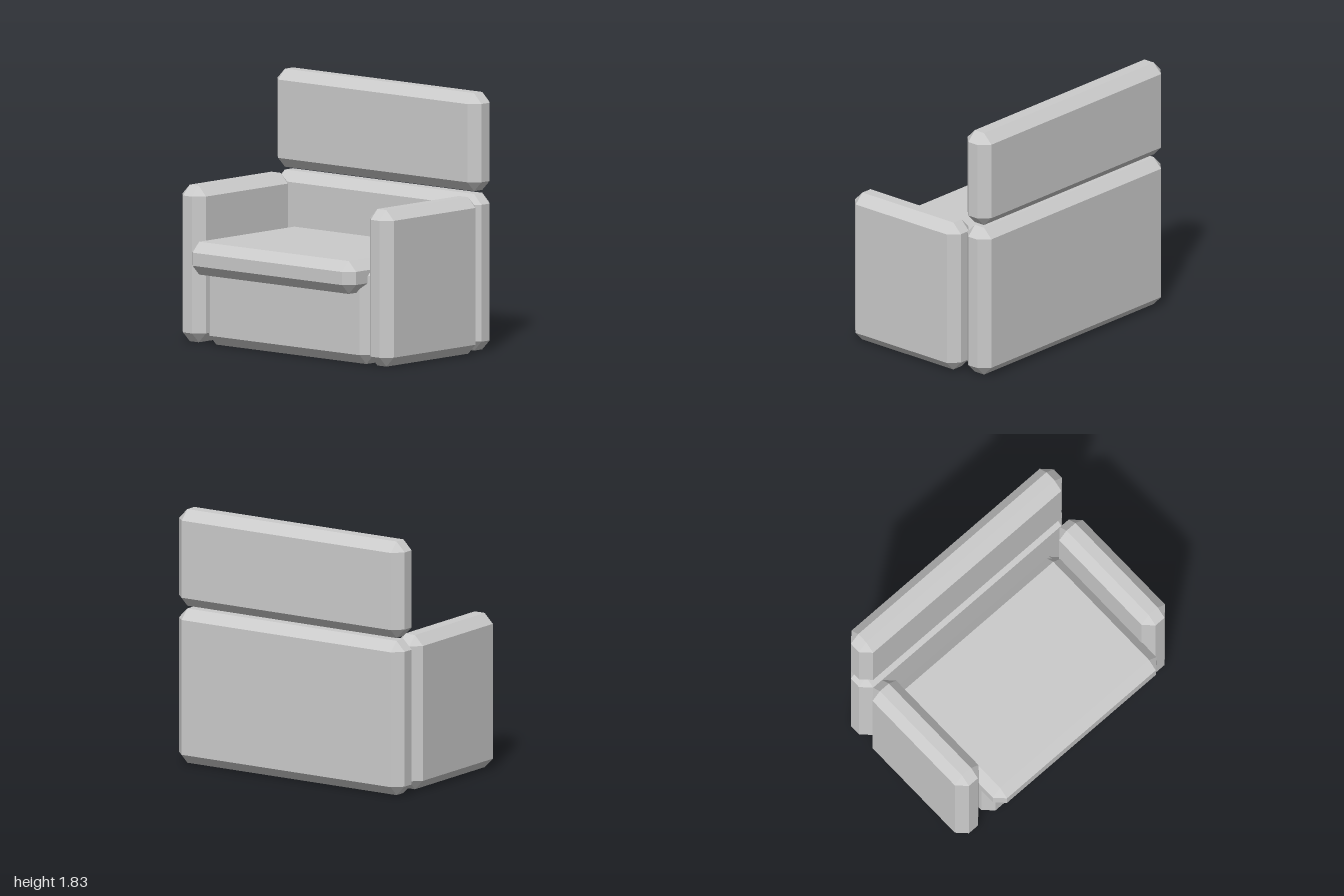
import * as THREE from 'three';
import { ConvexGeometry } from 'three/addons/geometries/ConvexGeometry.js';

const material = new THREE.MeshStandardMaterial({ color: 0xcccccc, flatShading: true });
const BEVEL = 0.07;

// Box with single-step bevels: three points near each corner, wrapped in a hull
function bevelBox(name, [x0, x1], [y0, y1], [z0, z1]) {
  const half = new THREE.Vector3(x1 - x0, y1 - y0, z1 - z0).multiplyScalar(0.5);
  const points = [];
  for (const sx of [-1, 1]) for (const sy of [-1, 1]) for (const sz of [-1, 1]) {
    for (const axis of ['x', 'y', 'z']) {
      const p = half.clone().subScalar(BEVEL);
      p[axis] = half[axis];
      points.push(p.multiply(new THREE.Vector3(sx, sy, sz)));
    }
  }
  const mesh = new THREE.Mesh(new ConvexGeometry(points), material);
  mesh.name = name;
  mesh.position.set((x0 + x1) / 2, (y0 + y1) / 2, (z0 + z1) / 2);
  return mesh;
}

export function createModel() {
  const chair = new THREE.Group();
  chair.name = 'armchair';

  // Back: lower panel and a separate headrest floating just above it
  const backX = [-1, 0.93], backZ = [-0.685, -0.46];
  chair.add(bevelBox('lowerBack', backX, [0, 1.11], backZ));
  chair.add(bevelBox('headrest', backX, [1.13, 1.825], backZ));

  // Arms
  const armY = [0, 1.11], armZ = [-0.46, 0.535];
  chair.add(bevelBox('rightArm', [-1, -0.775], armY, armZ));
  chair.add(bevelBox('leftArm', [0.775, 1], armY, armZ));

  // Base block with the seat cushion overhanging its front
  chair.add(bevelBox('base', [-0.748, 0.81], [0, 0.7], [-0.46, 0.535]));
  chair.add(bevelBox('seatCushion', [-0.775, 0.78], [0.51, 0.743], [-0.45, 0.685]));

  return chair;
}
